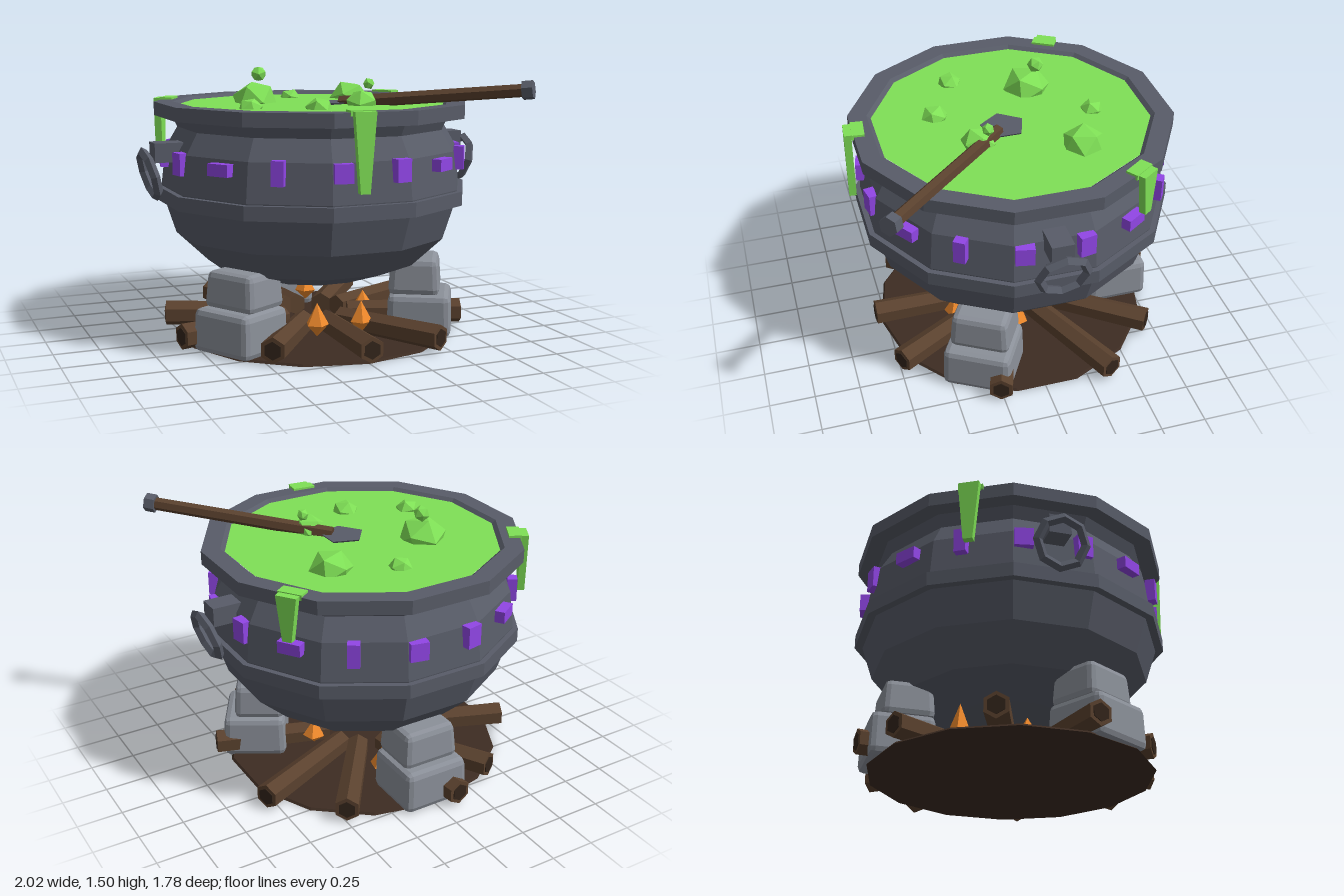
import * as THREE from 'three';
import { RoundedBoxGeometry } from 'three/addons/geometries/RoundedBoxGeometry.js';

const mat = (color) => new THREE.MeshStandardMaterial({ color, flatShading: true });
const DEG = Math.PI / 180;
const POT_Z = -0.018;

export function createModel() {
  const root = new THREE.Group();
  const iron = mat(0x585c68), stone = mat(0x8b9099), bark = mat(0x5a412e), woodEnd = mat(0x33251b);
  const slime = mat(0x7fe056), gem = mat(0x9146e6), fire = mat(0xf08a2c), soil = mat(0x3d2c22);

  const add = (name, geo, material, parent = root, x = 0, y = 0, z = 0) => {
    const m = new THREE.Mesh(geo, material);
    m.name = name;
    m.position.set(x, y, z);
    parent.add(m);
    return m;
  };
  // Group turned about the vertical axis; its +z points outward
  const spoke = (name, deg, z = POT_Z) => {
    const g = new THREE.Group();
    g.name = name;
    g.rotation.y = deg * DEG;
    g.position.z = z;
    root.add(g);
    return g;
  };
  // Twelve-sided turned shape; radii are measured to the flats
  const turned = (pts) => new THREE.LatheGeometry(
    pts.map(([r, y]) => new THREE.Vector2(r / Math.cos(15 * DEG), y)), 12, 15 * DEG);
  const rod = (name, a, b, r0, r1, sides, material) => {
    const d = b.clone().sub(a);
    const m = add(name, new THREE.CylinderGeometry(r1, r0, d.length(), sides), material);
    m.position.copy(a).addScaledVector(d, 0.5);
    m.quaternion.setFromUnitVectors(new THREE.Vector3(0, 1, 0), d.normalize());
    return m;
  };

  // Pot body with rim and inner wall
  add('pot', turned([[0, 0.318], [0.32, 0.318], [0.58, 0.41], [0.75, 0.575], [0.81, 0.767],
    [0.825, 0.85], [0.8, 1.06], [0.735, 1.175], [0.765, 1.24], [0.858, 1.24], [0.858, 1.315],
    [0.757, 1.315], [0.73, 1.29], [0.72, 1.2]]), iron, root, 0, 0, POT_Z);
  add('bellyBand', turned([[0.8, 0.767], [0.853, 0.767], [0.853, 0.844], [0.8, 0.844]]), iron, root, 0, 0, POT_Z);

  // Liquid and its bubbles
  add('liquid', turned([[0.735, 1.297], [0, 1.3]]), slime, root, 0, 0, POT_Z);
  [[-0.28, 1.305, -0.19, 0.135], [0.36, 1.3, -0.31, 0.12], [0.2, 1.305, 0.22, 0.095], [0.04, 1.295, -0.47, 0.066],
    [-0.45, 1.295, 0.22, 0.07], [-0.12, 1.295, 0.38, 0.078], [0.26, 1.413, 0.18, 0.034], [-0.245, 1.457, -0.23, 0.046]]
    .forEach(([x, y, z, r], i) => {
      const b = add('bubble', new THREE.IcosahedronGeometry(r, 0).rotateX(31.7 * DEG), slime, root, x, y, z);
      b.rotation.y = i * 1.3;
      if (r > 0.05) b.scale.y = 0.88;
    });

  // Slime running over the rim
  [[-5, 0.41], [125, 0.245], [-120, 0.34]].forEach(([deg, len]) => {
    const g = spoke('drip', deg);
    add('dripPad', new THREE.BoxGeometry(0.135, 0.03, 0.07), slime, g, 0, 1.312, 0.833);
    const geo = new THREE.BoxGeometry(0.115, len, 0.04);
    const p = geo.attributes.position;
    for (let i = 0; i < p.count; i++) if (p.getY(i) < 0) p.setX(i, p.getX(i) * 0.45);
    add('dripRun', geo, slime, g, 0, 1.322 - len / 2, 0.888);
  });

  // Ring of gems in four repeating sizes
  const gemSizes = [[0.088, 0.12], [0.13, 0.065], [0.065, 0.13], [0.1, 0.1]];
  for (let i = 0; i < 16; i++) {
    const [w, h] = gemSizes[i % 4];
    add('gem', new THREE.BoxGeometry(w, h, 0.055), gem, spoke('gemMount', 11.25 + i * 22.5), 0, 1.01, 0.833);
  }

  // Side brackets with hanging rings
  for (const side of [90, -90]) {
    const g = spoke('sideHandle', side);
    add('bracket', new THREE.BoxGeometry(0.12, 0.105, 0.16), iron, g, 0, 1.06, 0.85);
    const ring = add('ring', new THREE.TorusGeometry(0.129, 0.026, 4, 8), iron, g, 0, 0.942, 0.947);
    ring.rotation.x = 16 * DEG;
  }

  // Ladle
  const paddle = add('ladleBowl', new THREE.CylinderGeometry(0.125, 0.08, 0.06, 5), iron, root, 0.085, 1.279, 0.05);
  paddle.rotation.y = -90 * DEG;
  const tip = new THREE.Vector3(0.125, 1.305, 0.09), end = new THREE.Vector3(0.87, 1.397, 0.795);
  rod('ladleHandle', tip, end, 0.038, 0.036, 6, bark);
  rod('ladleKnob', end, end.clone().add(new THREE.Vector3(0.042, 0.006, 0.04)), 0.052, 0.052, 6, iron);

  // Three stacked stone legs
  const block = (w, h, d, r, taper) => {
    const geo = new RoundedBoxGeometry(w, h, d, 1, r);
    const p = geo.attributes.position;
    for (let i = 0; i < p.count; i++) {
      const k = 1 - taper * (p.getY(i) / h + 0.5);
      p.setXYZ(i, p.getX(i) * k, p.getY(i), p.getZ(i) * k);
    }
    return geo;
  };
  for (const deg of [60, 180, 300]) {
    const g = spoke('stoneLeg', deg);
    add('lowerStone', block(0.39, 0.24, 0.36, 0.035, 0.04), stone, g, 0, 0.122, 0.625);
    add('upperStone', block(0.34, 0.205, 0.29, 0.035, 0.1), stone, g, 0, 0.338, 0.595);
  }

  // Scorched ground and radial logs
  add('ashBed', new THREE.CylinderGeometry(0.78, 0.79, 0.012, 14), soil, root, 0, 0.006, -0.01);
  [[0, 0.82], [30, 0.87], [71, 0.86], [114, 0.89], [144, 0.85], [187, 0.87], [209, 0.83], [249, 0.85], [284, 0.87], [323, 0.8]]
    .forEach(([deg, reach]) => {
      const g = spoke('log', deg, -0.01);
      const len = reach - 0.2;
      add('logBark', new THREE.CylinderGeometry(0.072, 0.064, len, 6).rotateX(90 * DEG), bark, g, 0, 0.082, 0.2 + len / 2);
      add('logEnd', new THREE.CylinderGeometry(0.05, 0.05, 0.01, 6).rotateX(90 * DEG), woodEnd, g, 0, 0.082, reach);
    });

  // Flames
  [[-0.12, 0.35, 0.19], [0.14, 0.36, 0.18], [0.13, -0.45, 0.17], [-0.21, -0.35, 0.27],
    [-0.38, -0.03, 0.16], [0.3, 0.03, 0.15], [-0.36, 0.36, 0.13]]
    .forEach(([x, z, h], i) => {
      const pts = [[0, 0], [0.065, h * 0.36], [0, h]].map(([r, y]) => new THREE.Vector2(r, y));
      const f = add('flame', new THREE.LatheGeometry(pts, 5), fire, root, x, 0.045, z);
      f.rotation.y = i;
    });

  return root;
}
